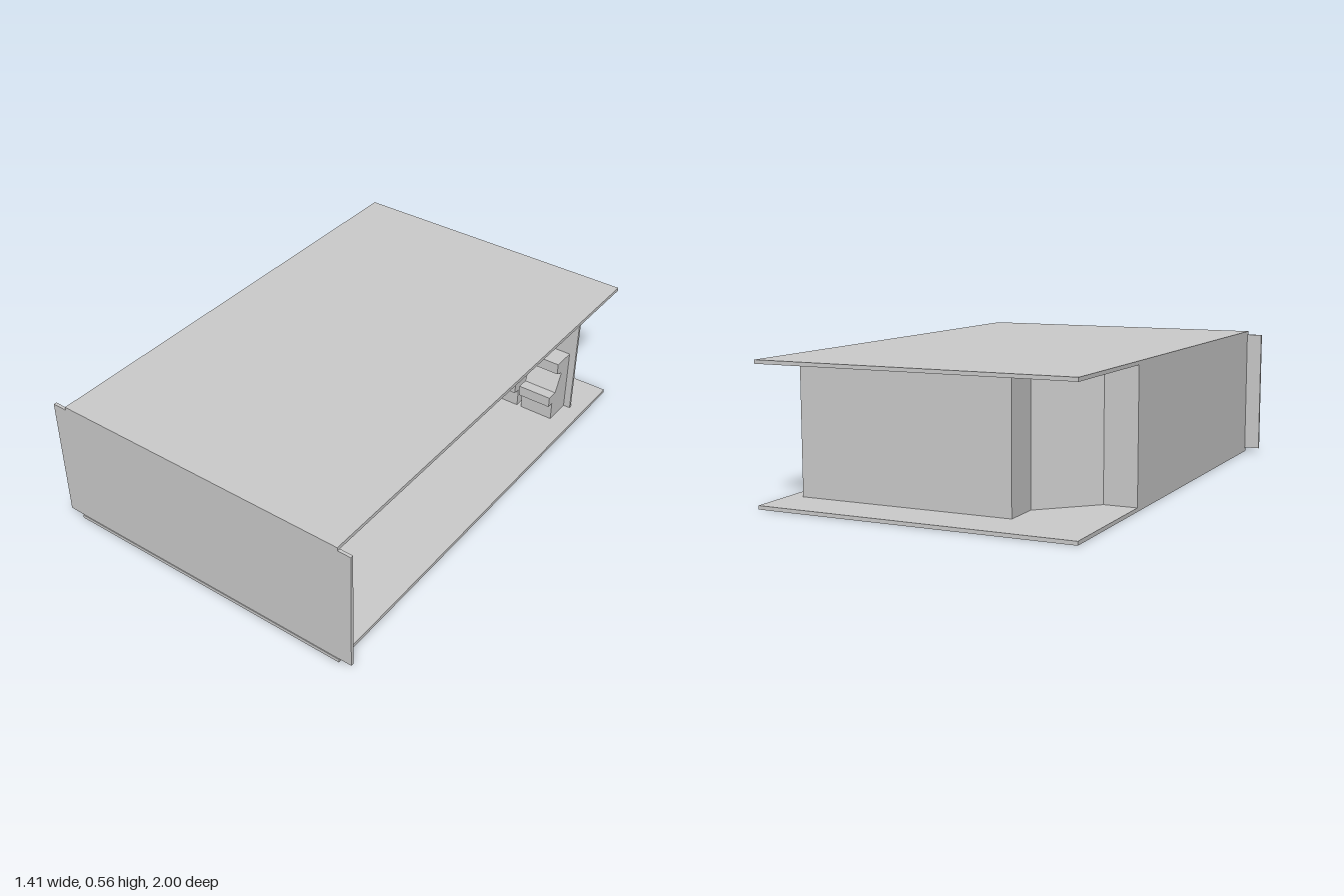
import * as THREE from 'three';

const material = new THREE.MeshStandardMaterial({ color: 0xcccccc, flatShading: true });
const FLOOR = 0.015, CEILING = 0.545, UNIT = 0.15;

// Side outlines as [depth from back, height]
const deskProfile = [[0, FLOOR], [0.245, FLOOR], [0.245, 0.075], [0.28, 0.075], [0.28, 0.125],
  [0.21, 0.125], [0.05, 0.175], [0.05, 0.29], [0, 0.29]];
const screenProfile = [[0, FLOOR], [0.12, FLOOR], [0.12, 0.098], [0.15, 0.098], [0.15, 0.145],
  [0.1, 0.145], [0.06, 0.23], [0.1, 0.245], [0.1, 0.295], [0, 0.295]];

function addBox(parent, name, [x0, x1], [y0, y1], [z0, z1]) {
  const mesh = new THREE.Mesh(new THREE.BoxGeometry(x1 - x0, y1 - y0, z1 - z0), material);
  mesh.position.set((x0 + x1) / 2, (y0 + y1) / 2, (z0 + z1) / 2);
  mesh.name = name;
  parent.add(mesh);
}

// Console whose back centre is at the origin and whose front faces +z
function consoleGeometry(profile) {
  const shape = new THREE.Shape(profile.map(([d, y]) => new THREE.Vector2(d, y)));
  const geometry = new THREE.ExtrudeGeometry(shape, { depth: UNIT, bevelEnabled: false });
  return geometry.translate(0, 0, -UNIT / 2).rotateY(-Math.PI / 2);
}

function addConsoles(parent, name, profile, places, turn) {
  const row = new THREE.Group();
  row.name = name + 'Row';
  const geometry = consoleGeometry(profile);
  places.forEach(([x, z]) => {
    const mesh = new THREE.Mesh(geometry, material);
    mesh.name = name;
    mesh.position.set(x, 0, z);
    mesh.rotation.y = turn;
    row.add(mesh);
  });
  parent.add(row);
}

export function createModel() {
  const room = new THREE.Group();
  room.name = 'controlRoom';

  // Floor, ceiling and flat end walls; the +x side stays open
  addBox(room, 'floor', [-0.64, 0.65], [0, FLOOR], [-1, 1]);
  addBox(room, 'ceiling', [-0.64, 0.65], [CEILING, 0.56], [-1, 1]);
  addBox(room, 'frontWall', [-0.705, 0.705], [0.018, CEILING], [0.986, 0.999]);
  addBox(room, 'backWall', [-0.285, 0.59], [FLOOR, CEILING], [-0.8, -0.788]);

  // Side wall with its stepped, angled corner, as a thin plan outline
  const plan = [[-0.64, 0.986], [-0.64, -0.44], [-0.505, -0.44], [-0.3, -0.64], [-0.3, -0.8],
    [-0.285, -0.8], [-0.285, -0.634], [-0.499, -0.425], [-0.625, -0.425], [-0.625, 0.986]];
  const wallShape = new THREE.Shape(plan.map(([x, z]) => new THREE.Vector2(x, -z)));
  const wallGeometry = new THREE.ExtrudeGeometry(wallShape, { depth: CEILING - FLOOR, bevelEnabled: false });
  wallGeometry.rotateX(-Math.PI / 2).translate(0, FLOOR, 0);
  const sideWall = new THREE.Mesh(wallGeometry, material);
  sideWall.name = 'sideWall';
  room.add(sideWall);

  // Screen consoles along the back and side walls
  addConsoles(room, 'backConsole', screenProfile,
    [0, 1, 2, 3, 4].map((i) => [0.485 - i * 0.17, -0.788]), 0);
  addConsoles(room, 'sideConsole', screenProfile,
    [0, 1, 2, 3].map((i) => [-0.625, 0.345 - i * 0.17]), Math.PI / 2);

  // Desk consoles in the middle and at the front
  addConsoles(room, 'middleDesk', deskProfile,
    [0.275, 0.105, -0.075, -0.245].map((z) => [0.07, z]), -Math.PI / 2);
  addConsoles(room, 'frontDesk', deskProfile,
    [-0.255, -0.085, 0.085, 0.255].map((x) => [x, 0.945]), Math.PI);

  return room;
}
